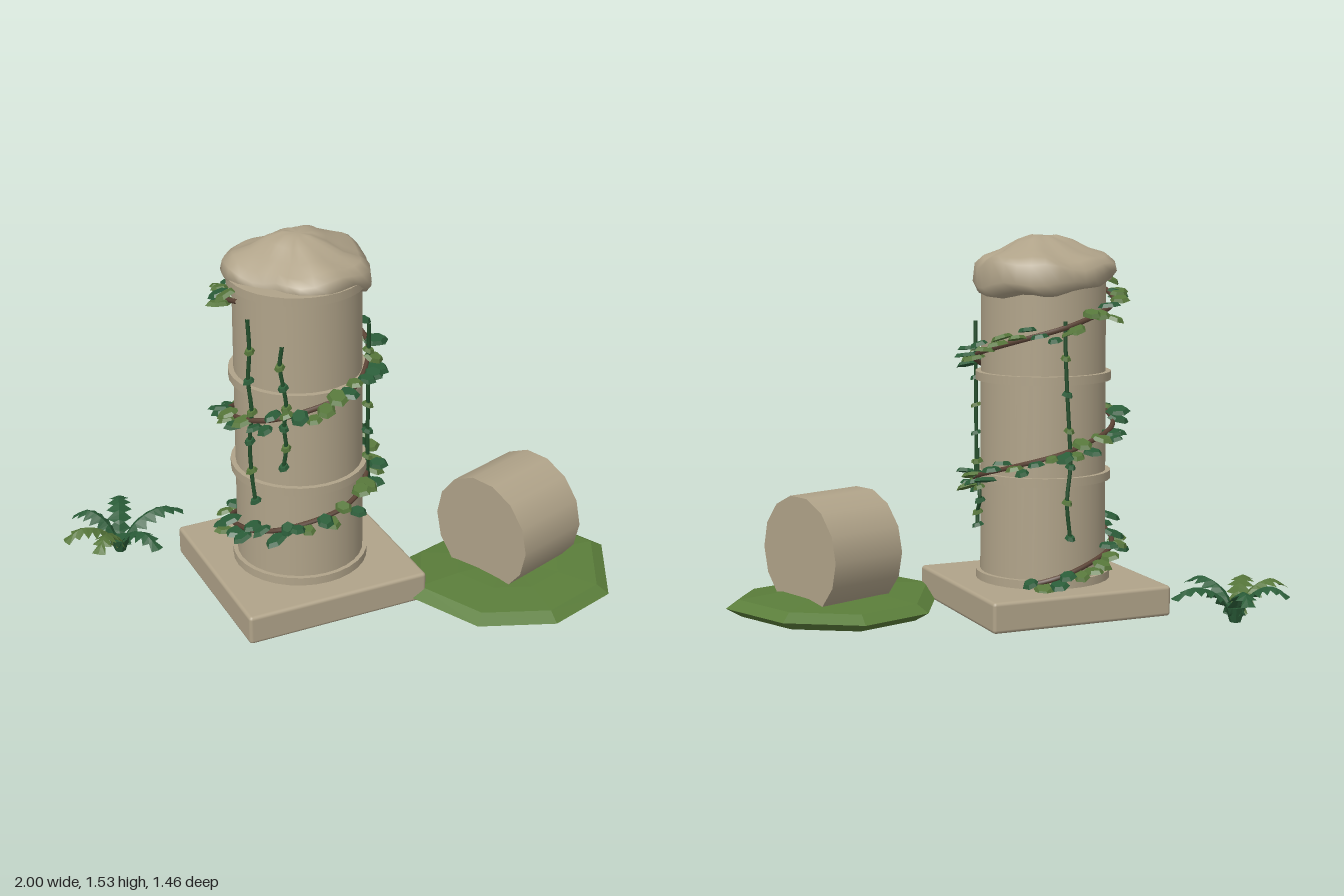
import * as THREE from 'three';
import { mergeGeometries, mergeVertices } from 'three/addons/utils/BufferGeometryUtils.js';
import { RoundedBoxGeometry } from 'three/addons/geometries/RoundedBoxGeometry.js';

const CX = -0.185, CZ = 0.008; // column axis

function material(name, color, options = {}) {
  const m = new THREE.MeshStandardMaterial({ color, ...options });
  m.name = name;
  return m;
}

// small repeatable random numbers
function seeded(seed) {
  return () => (seed = (seed * 16807) % 2147483647) / 2147483647;
}

// point around the column: angle 0 is the front, a quarter turn is +x
const around = (a, r, y) => new THREE.Vector3(CX + r * Math.sin(a), y, CZ + r * Math.cos(a));

// lathe whose outline varies with angle; sag(angle) lowers the lower half
function blob(profile, radii, segments, sag = () => 0) {
  const g = new THREE.LatheGeometry(profile.map(([r, y]) => new THREE.Vector2(r, y)), segments);
  const p = g.attributes.position;
  const n = radii.length;
  for (let i = 0; i < p.count; i++) {
    const x = p.getX(i), z = p.getZ(i), r = Math.hypot(x, z);
    if (r < 1e-5) { p.setX(i, 0); p.setZ(i, 0); continue; }
    const a = ((Math.atan2(x, z) / (2 * Math.PI) + 1) % 1) * n;
    const k = Math.floor(a + 1e-6), t = Math.max(0, a - k);
    const s = radii[k % n] * (1 - t) + radii[(k + 1) % n] * t;
    p.setXYZ(i, x * s, p.getY(i) + sag(Math.atan2(x, z), r, p.getY(i)), z * s);
  }
  g.deleteAttribute('uv');
  g.deleteAttribute('normal');
  const merged = mergeVertices(g, 1e-4);
  merged.computeVertexNormals();
  return merged;
}

// arched, saw-edged frond pointing along +z
function frondGeometry(length) {
  const curve = new THREE.CatmullRomCurve3([[0.01, 0.1], [0.06, 0.17], [0.13, 0.212], [0.2, 0.222], [0.28, 0.185]]
    .map(([z, y]) => new THREE.Vector3(0, y, z * length / 0.28)));
  const steps = 14, pos = [], index = [];
  for (let i = 0; i <= steps; i++) {
    const t = i / steps, c = curve.getPoint(t);
    const tooth = i % 2;
    const w = i === steps ? 0 : (0.012 + 0.04 * Math.sin(Math.PI * (0.12 + 0.8 * t))) * (tooth ? 1 : 0.45);
    const shift = tooth ? 0.012 : 0;
    pos.push(c.x, c.y, c.z, w, c.y - w * 0.5, c.z + shift, -w, c.y - w * 0.5, c.z + shift);
    if (i < steps) {
      const a = i * 3, b = a + 3;
      index.push(a, b, b + 1, a, b + 1, a + 1, a, a + 2, b + 2, a, b + 2, b);
    }
  }
  const g = new THREE.BufferGeometry();
  g.setAttribute('position', new THREE.Float32BufferAttribute(pos, 3));
  g.setIndex(index);
  g.computeVertexNormals();
  return g;
}

export function createModel() {
  const root = new THREE.Group();
  const stone = material('stone', 0xb0a389);
  const moss = material('moss', 0x5a7d3a, { flatShading: true });
  const bark = material('vine bark', 0x5c4436);
  const strandGreen = material('strand green', 0x24502c);
  const darkLeaf = material('dark leaf', 0x2a5c38, { flatShading: true, side: THREE.DoubleSide });
  const lightLeaf = material('light leaf', 0x56763a, { flatShading: true, side: THREE.DoubleSide });

  const add = (name, geometry, mat, x = 0, y = 0, z = 0, parent = root) => {
    const m = new THREE.Mesh(geometry, mat);
    m.name = name;
    m.position.set(x, y, z);
    parent.add(m);
    return m;
  };

  // column: plinth, shaft and bands
  add('plinth', new RoundedBoxGeometry(0.74, 0.118, 0.74, 2, 0.014), stone, CX, 0.143, 0.005);
  add('shaft', new THREE.CylinderGeometry(0.24, 0.245, 1.19, 32), stone, CX, 0.795, CZ);
  for (const y of [0.218, 0.61, 0.995, 1.38]) {
    add('band', new THREE.CylinderGeometry(0.262, 0.262, 0.033, 32), stone, CX, y, CZ);
  }

  // weathered broken top, drooping on the right and back
  const capProfile = [[0, 1.35], [0.75, 1.345], [0.93, 1.355], [1, 1.39], [0.97, 1.425],
    [0.85, 1.45], [0.62, 1.472], [0.4, 1.51], [0.2, 1.53], [0, 1.53]];
  const capRadii = [0.28, 0.275, 0.285, 0.26, 0.27, 0.285, 0.285, 0.285,
    0.28, 0.27, 0.275, 0.285, 0.28, 0.25, 0.23, 0.265];
  const droop = (a, r, y) => (y < 1.4 ? -0.045 * Math.max(0, Math.cos(a - 2)) : 0)
    + 0.012 * r * Math.sin(3 * a + 1) + 0.008 * r * Math.sin(7 * a + y * 40);
  add('brokenTop', blob(capProfile, capRadii, 32, droop), stone, -0.17, 0, -0.015);

  // fallen drum lying on a mossy mound
  const drum = add('fallenDrum', new THREE.CylinderGeometry(0.23, 0.23, 0.323, 14), stone, 0.58, 0.312, 0.306);
  drum.rotation.set(0, 0.331, -Math.PI / 2);
  const moundProfile = [[0, 0], [0.5, 0.02], [0.86, 0.055], [1, 0.09], [0.88, 0.122], [0.5, 0.142], [0, 0.15]];
  const moundRadii = [0.38, 0.41, 0.44, 0.43, 0.37, 0.405, 0.445, 0.425];
  add('mossMound', blob(moundProfile, moundRadii, 8, (a, r) => 0.018 * r * Math.sin(2 * a + 4)), moss, 0.56, 0, 0.352);

  // climbing vine
  const vineY = (a) => 0.5 + 0.47 * a / (2 * Math.PI);
  const start = -3.74, end = 11.2, path = [];
  for (let i = 0; i <= 60; i++) {
    const a = start + (end - start) * i / 60;
    path.push(around(a, 0.266 + 0.006 * Math.sin(a * 5), vineY(a)));
  }
  add('climbingVine', new THREE.TubeGeometry(new THREE.CatmullRomCurve3(path), 160, 0.01, 6), bark);

  // leaves along the vine
  const rand = seeded(71);
  const leaves = [[], []];
  const dummy = new THREE.Object3D();
  dummy.rotation.order = 'YXZ';
  const placeLeaf = (p, yaw, pitch, roll, size, kind) => {
    const g = new THREE.CylinderGeometry(0.026, 0.036, 0.014, 6);
    dummy.position.copy(p);
    dummy.rotation.set(pitch, yaw, roll);
    dummy.scale.set(size, 1, size * 1.25);
    dummy.updateMatrix();
    leaves[kind].push(g.applyMatrix4(dummy.matrix));
  };
  const count = 92;
  for (let i = 0; i < count; i++) {
    const a = start + (end - start) * (i + 0.5 * rand()) / count;
    const p = around(a, 0.278 + 0.03 * rand(), vineY(a) + (rand() - 0.5) * 0.075);
    placeLeaf(p, a + (rand() - 0.5) * 0.9, (rand() - 0.3) * 0.5, 0.2 + (rand() - 0.5) * 0.4,
      0.75 + 0.4 * rand(), rand() < 0.55 ? 0 : 1);
  }

  // hanging strands: angle, top, bottom
  const strands = [[0.98, 1.2, 0.54], [3.05, 1.22, 0.4], [-0.62, 1.21, 0.72], [-1.12, 1.29, 0.55], [1.5, 0.72, 0.42]];
  for (const [a, top, bottom] of strands) {
    const points = [];
    for (let i = 0; i <= 6; i++) {
      const t = i / 6;
      const p = around(a + (rand() - 0.5) * 0.12, 0.266, top + (bottom - top) * t);
      points.push(p);
      if (i) placeLeaf(p, a + (rand() - 0.5), 0.3, 0, 0.55, i % 2);
    }
    add('hangingStrand', new THREE.TubeGeometry(new THREE.CatmullRomCurve3(points), 24, 0.008, 5), strandGreen);
  }
  add('darkVineLeaves', mergeGeometries(leaves[0]), darkLeaf);
  add('lightVineLeaves', mergeGeometries(leaves[1]), lightLeaf);

  // fern beside the plinth: angle, length, colour
  const fern = new THREE.Group();
  fern.name = 'fern';
  fern.position.set(-0.76, 0, -0.5);
  root.add(fern);
  add('fernCrown', new THREE.CylinderGeometry(0.042, 0.022, 0.06, 7), darkLeaf, 0, 0.102, 0, fern);
  const fronds = [[1.6, 0.28, darkLeaf], [2.8, 0.245, darkLeaf], [3.86, 0.21, darkLeaf],
    [-1.45, 0.24, lightLeaf], [-0.7, 0.23, lightLeaf], [0.31, 0.26, darkLeaf]];
  for (const [angle, length, mat] of fronds) {
    add('frond', frondGeometry(length), mat, 0, 0, 0, fern).rotation.y = angle;
  }
  return root;
}
